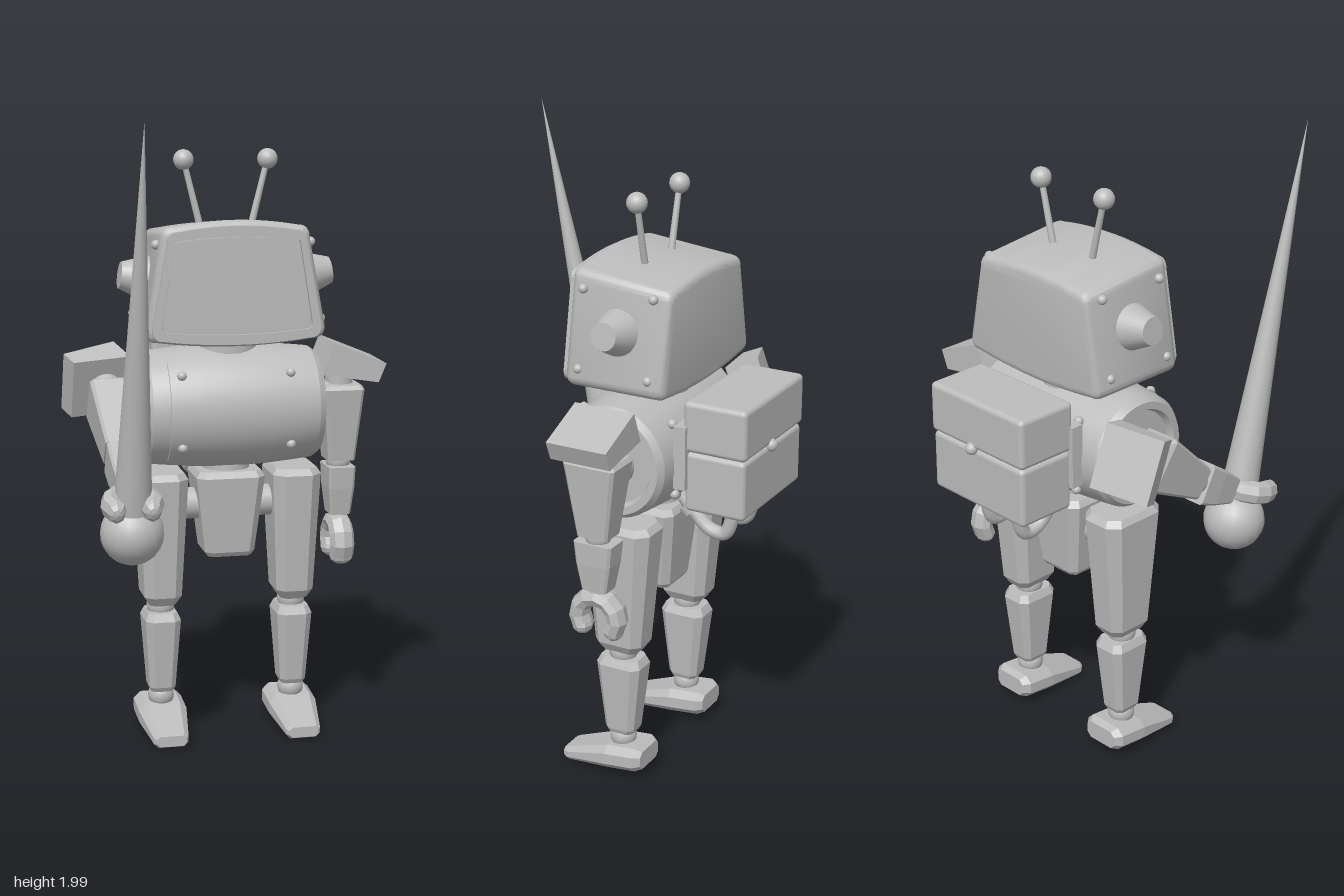
import * as THREE from 'three';
import { toCreasedNormals } from 'three/addons/utils/BufferGeometryUtils.js';
import { RoundedBoxGeometry } from 'three/addons/geometries/RoundedBoxGeometry.js';

const DEG = Math.PI / 180;
const metal = new THREE.MeshStandardMaterial({ color: 0xbcbcbc });
metal.name = 'plain grey metal';

const MID_Z = -0.105; // plane of the limbs and head centre

function add(parent, name, geometry, x = 0, y = 0, z = 0) {
  const mesh = new THREE.Mesh(geometry, metal);
  mesh.name = name;
  mesh.position.set(x, y, z);
  parent.add(mesh);
  return mesh;
}

function addGroup(parent, name, x = 0, y = 0, z = 0) {
  const group = new THREE.Group();
  group.name = name;
  group.position.set(x, y, z);
  parent.add(group);
  return group;
}

function faceted(geometry) {
  const g = geometry.index ? geometry.toNonIndexed() : geometry;
  g.computeVertexNormals();
  return g;
}

const ball = (r) => new THREE.SphereGeometry(r, 20, 14);
const rod = (top, bottom, h) => new THREE.CylinderGeometry(top, bottom, h, 24);

// Chamfered box through sections [y, halfX, halfZ, chamfer, shiftZ], lowest first
function loft(sections) {
  const rings = sections.map(([y, hx, hz, c, dz = 0]) => [
    [hx, hz - c], [hx - c, hz], [c - hx, hz], [-hx, hz - c],
    [-hx, c - hz], [c - hx, -hz], [hx - c, -hz], [hx, c - hz],
  ].map(([x, z]) => [x, y, z + dz]));
  const p = [];
  for (let s = 0; s < rings.length - 1; s++) {
    for (let i = 0; i < 8; i++) {
      const a = rings[s], b = rings[s + 1], j = (i + 1) % 8;
      p.push(...a[i], ...b[i], ...a[j], ...a[j], ...b[i], ...b[j]);
    }
  }
  const low = rings[0], high = rings[rings.length - 1];
  for (let i = 1; i < 7; i++) {
    p.push(...low[0], ...low[i], ...low[i + 1]);
    p.push(...high[0], ...high[i + 1], ...high[i]);
  }
  const g = new THREE.BufferGeometry();
  g.setAttribute('position', new THREE.Float32BufferAttribute(p, 3));
  g.computeVertexNormals();
  return g;
}

// Rounded trapezoid with arched top and bottom
function faceOutline(b, t, y0, y1, bulge, r, Type = THREE.Shape) {
  const s = new Type();
  s.moveTo(r - b, y0);
  s.quadraticCurveTo(0, y0 - 2 * bulge, b - r, y0);
  s.quadraticCurveTo(b, y0, b, y0 + r);
  s.lineTo(t, y1 - r);
  s.quadraticCurveTo(t, y1, t - r, y1);
  s.quadraticCurveTo(0, y1 + 2 * bulge, r - t, y1);
  s.quadraticCurveTo(-t, y1, -t, y1 - r);
  s.lineTo(-b, y0 + r);
  s.quadraticCurveTo(-b, y0, r - b, y0);
  return s;
}

function buildHead(root) {
  const head = addGroup(root, 'head');
  // Casing, its top dropping slightly towards the back
  const casing = new THREE.ExtrudeGeometry(faceOutline(0.285, 0.235, 1.29, 1.648, 0.018, 0.04), {
    depth: 0.285, bevelThickness: 0.025, bevelSize: 0.025, bevelOffset: -0.025, bevelSegments: 4, curveSegments: 10,
  });
  casing.translate(0, 0, -0.25);
  const pos = casing.attributes.position;
  for (let i = 0; i < pos.count; i++) {
    const y = pos.getY(i);
    pos.setY(i, y - (0.06 - pos.getZ(i)) / 0.335 * 0.035 * (y - 1.29) / 0.36);
  }
  add(head, 'headCasing', toCreasedNormals(casing, 0.6));

  const rim = faceOutline(0.265, 0.218, 1.298, 1.632, 0.016, 0.035);
  rim.holes.push(faceOutline(0.238, 0.2, 1.325, 1.605, 0.012, 0.02, THREE.Path));
  add(head, 'screenFrame', new THREE.ExtrudeGeometry(rim, { depth: 0.025, bevelEnabled: false, curveSegments: 10 }), 0, 0, 0.047);
  add(head, 'screen', new THREE.ExtrudeGeometry(faceOutline(0.234, 0.196, 1.329, 1.601, 0.012, 0.018),
    { depth: 0.009, bevelEnabled: false, curveSegments: 10 }), 0, 0, 0.059);

  const sideX = (y) => 0.285 - (y - 1.29) * 0.14;
  for (const side of [-1, 1]) {
    const ear = add(head, 'ear', rod(0.042, 0.072, 0.085), side * 0.295, 1.48, MID_Z);
    ear.rotation.z = side * (-90 + 8) * DEG;
    for (const y of [1.35, 1.59]) {
      for (const z of [-0.22, 0.015]) add(head, 'headRivet', ball(0.015), side * sideX(y), y, z);
    }
    const antenna = addGroup(head, 'antenna', side * 0.085, 1.645, MID_Z);
    antenna.rotation.z = -side * 14 * DEG;
    add(antenna, 'antennaRod', rod(0.009, 0.011, 0.2), 0, 0.1, 0);
    add(antenna, 'antennaBall', ball(0.032), 0, 0.2, 0);
  }
  add(head, 'neck', rod(0.1, 0.1, 0.08), 0, 1.265, MID_Z);
}

function buildTorso(root) {
  const torso = addGroup(root, 'torso', 0, 1.068, -0.095);
  // Barrel lying on its side with rimmed ends
  const half = [[0, 0.265], [0.13, 0.265], [0.14, 0.285], [0.163, 0.285], [0.178, 0.264], [0.184, 0.21], [0.193, 0.11]];
  const profile = [...half.map(([r, x]) => [r, -x]), [0.196, 0], ...half.slice().reverse()];
  const barrel = new THREE.LatheGeometry(profile.map(([r, x]) => new THREE.Vector2(r, x)), 48).rotateZ(-Math.PI / 2);
  add(torso, 'barrel', toCreasedNormals(barrel, 0.5));
  // Raised chest plate
  const plate = [[0.17, -0.212], [0.189, -0.21], [0.198, -0.11], [0.201, 0], [0.198, 0.11], [0.189, 0.21], [0.17, 0.212]];
  const chest = new THREE.LatheGeometry(plate.map(([r, x]) => new THREE.Vector2(r, x)), 20, -0.95, 1.9).rotateZ(-Math.PI / 2);
  add(torso, 'chestPlate', toCreasedNormals(chest, 0.5));
  for (const x of [-0.172, 0.172]) {
    for (const y of [-0.105, 0.12]) {
      for (const z of [-1, 1]) add(torso, 'torsoRivet', ball(0.015), x, y, z * Math.sqrt(0.194 ** 2 - y * y));
    }
  }
  add(root, 'waist', rod(0.075, 0.075, 0.08), 0, 0.87, MID_Z);
  add(root, 'pelvis', loft([
    [0.585, 0.07, 0.07, 0.015], [0.6, 0.08, 0.08, 0.02], [0.845, 0.11, 0.105, 0.025], [0.865, 0.098, 0.093, 0.02],
  ]), 0, 0, MID_Z);
}

function buildBackpack(root) {
  const pack = addGroup(root, 'backpack', 0, 0, -0.402);
  add(pack, 'packMount', new THREE.BoxGeometry(0.43, 0.2, 0.04), 0, 1.1, 0.108);
  add(pack, 'packBody', new RoundedBoxGeometry(0.396, 0.19, 0.2, 3, 0.016), 0, 1.022, 0);
  add(pack, 'packLid', new RoundedBoxGeometry(0.404, 0.16, 0.208, 3, 0.016), 0, 1.198, 0);
  add(pack, 'packLatch', ball(0.02), 0.02, 1.118, -0.102);
  // Hoses from the pack floor to the lower back
  for (const x of [-0.07, 0.07]) {
    const path = new THREE.CatmullRomCurve3([
      [0.94, 0.002], [0.865, 0.002], [0.82, 0.025], [0.825, 0.075], [0.87, 0.125], [0.915, 0.165],
    ].map(([y, z]) => new THREE.Vector3(x, y, z)));
    add(pack, 'hose', new THREE.TubeGeometry(path, 24, 0.022, 12));
    add(pack, 'hoseCollar', rod(0.034, 0.034, 0.03), x, 0.92, 0.002);
    add(pack, 'hoseCollar', rod(0.036, 0.036, 0.03), x, 0.885, 0.138).rotation.x = 45 * DEG;
  }
}

function buildLeg(root, side) {
  const leg = addGroup(root, side > 0 ? 'leftLeg' : 'rightLeg', side * 0.215, 0, MID_Z);
  add(leg, 'hipJoint', rod(0.05, 0.05, 0.12), -side * 0.09, 0.75, 0).rotation.z = Math.PI / 2;
  add(leg, 'thigh', loft([
    [0.43, 0.042, 0.06, 0.018], [0.46, 0.06, 0.08, 0.025], [0.845, 0.078, 0.115, 0.035], [0.865, 0.066, 0.1, 0.03],
  ]));
  add(leg, 'knee', ball(0.045), 0, 0.42, 0);
  add(leg, 'shin', loft([
    [0.14, 0.036, 0.042, 0.014], [0.155, 0.042, 0.05, 0.016], [0.38, 0.057, 0.076, 0.022], [0.405, 0.046, 0.064, 0.018],
  ]));
  add(leg, 'ankle', ball(0.042), 0, 0.12, 0);
  // Foot sections run from heel to toe
  const foot = loft([
    [-0.092, 0.06, 0.03, 0.015, -0.07], [-0.07, 0.078, 0.04, 0.022, -0.071], [0.03, 0.078, 0.04, 0.022, -0.06],
    [0.18, 0.056, 0.023, 0.014, -0.024], [0.194, 0.048, 0.017, 0.01, -0.024],
  ]).rotateX(Math.PI / 2);
  add(leg, 'foot', foot);
}

function buildArm(root, side, raised) {
  const arm = addGroup(root, side > 0 ? 'leftArm' : 'rightArm', side * 0.37, 1.065, MID_Z);
  add(arm, 'shoulderAxle', rod(0.065, 0.065, 0.1), -side * 0.075, 0, 0).rotation.z = Math.PI / 2;
  // Slanted shoulder guard
  const outline = [[-0.04, 0.2], [0.13, 0.13], [0.105, 0.07], [-0.08, 0.1]].map(([x, y]) => new THREE.Vector2(side * x, y));
  const guard = new THREE.ExtrudeGeometry(new THREE.Shape(outline), { depth: 0.2, bevelEnabled: false }).translate(0, 0, -0.1);
  const guardMesh = add(arm, 'shoulderGuard', guard, 0, raised ? 0.036 : 0, 0);
  add(arm, 'shoulderPost', rod(0.045, 0.045, 0.07), 0, 0.075, 0);
  add(arm, 'upperArm', loft([
    [-0.19, 0.044, 0.052, 0.008], [0.045, 0.065, 0.087, 0.01], [0.058, 0.058, 0.078, 0.009],
  ]));
  add(arm, 'elbow', ball(0.04), 0, -0.195, 0);
  const forearm = addGroup(arm, 'forearm', 0, -0.2, 0);
  add(forearm, 'forearmCasing', loft([[-0.168, 0.033, 0.042, 0.006], [-0.08, 0.042, 0.058, 0.008], [-0.01, 0.044, 0.065, 0.008]]));
  const hand = addGroup(forearm, 'hand', 0, -0.175, 0);
  add(hand, 'wrist', rod(0.03, 0.03, 0.04));
  // Open claw
  const claw = addGroup(hand, 'claw', 0, -0.085, 0);
  claw.scale.z = 1.2;
  add(claw, 'clawRing', faceted(new THREE.TorusGeometry(0.066, 0.031, 8, 8, 250 * DEG).rotateZ(-35 * DEG)));
  for (const a of [-35, 215]) {
    add(claw, 'clawTip', faceted(new THREE.SphereGeometry(0.031, 8, 6)), 0.066 * Math.cos(a * DEG), 0.066 * Math.sin(a * DEG), 0);
  }
  if (raised) {
    arm.rotation.x = -55 * DEG;
    guardMesh.rotation.x = -14 * DEG;
    forearm.rotation.x = -7 * DEG;
    hand.rotation.x = -13 * DEG;
  } else {
    claw.rotation.y = Math.PI / 2;
    claw.scale.z = 1.3;
  }
}

function buildLance(root) {
  const lance = addGroup(root, 'lance', -0.363, 0.747, 0.245);
  lance.rotation.x = Math.atan2(0.275, 1.245);
  add(lance, 'pommel', ball(0.097));
  add(lance, 'spike', new THREE.ConeGeometry(0.06, 1.225, 32), 0, 0.6625, 0);
}

export function createModel() {
  const model = new THREE.Group();
  model.name = 'robot';
  buildHead(model);
  buildTorso(model);
  buildBackpack(model);
  for (const side of [-1, 1]) {
    buildLeg(model, side);
    buildArm(model, side, side < 0);
  }
  buildLance(model);
  return model;
}
